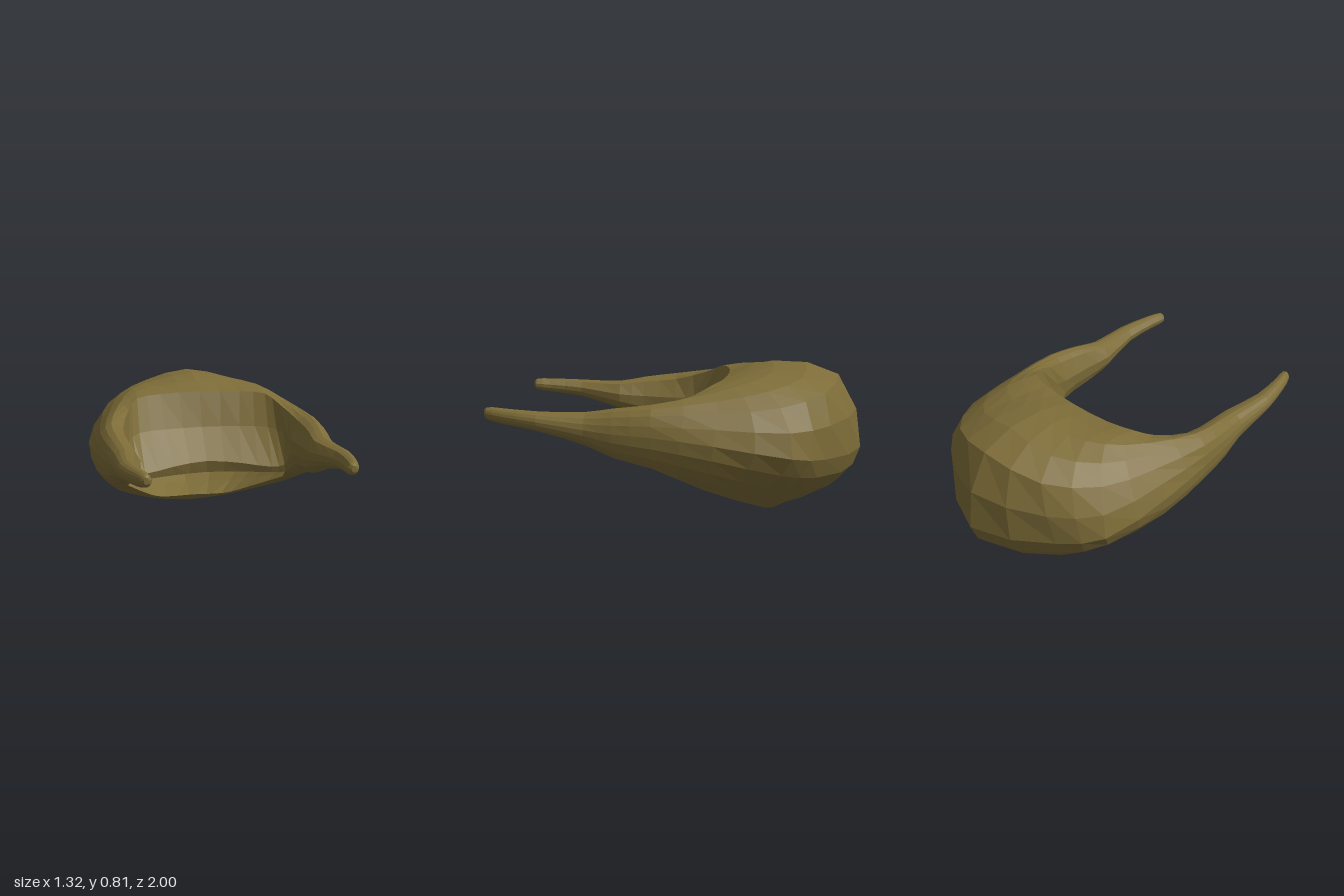
import * as THREE from 'three';

// Head cross-sections [x, y, z], from the centre line round to the side.
// Order: rim, crown, shoulder, outer, lower outer, bottom, bottom edge, lip, lip roll, front wall
const headSections = [
  [[0, .75, -.26], [0, .82, -.5], [0, .75, -.865], [0, .34, -1], [0, .155, -.885], [0, .005, -.52],
    [0, .05, -.47], [0, .31, -.06], [0, .38, -.045], [0, .55, -.19]],
  [[.24, .745, -.24], [.22, .785, -.5], [.32, .69, -.78], [.42, .36, -.785], [.35, .17, -.69], [.18, .02, -.51],
    [.19, .05, -.46], [.2, .31, -.03], [.2, .365, -.015], [.22, .55, -.165]],
  [[.38, .735, -.19], [.38, .757, -.4], [.51, .645, -.55], [.6, .4, -.615], [.5, .22, -.5], [.29, .06, -.44],
    [.28, .09, -.39], [.37, .31, .02], [.37, .345, .03], [.38, .55, -.11]],
  [[.44, .69, -.1], [.48, .71, -.2], [.58, .62, -.24], [.66, .47, -.22], [.62, .32, -.2], [.5, .2, -.16],
    [.46, .26, -.05], [.445, .315, .04], [.44, .36, .05], [.45, .53, -.02]],
];

// Side lock ellipses: z, inner x, outer x, bottom y, top y
const lockSections = [
  [.1, .455, .65, .32, .66], [.3, .46, .63, .37, .635], [.45, .447, .605, .43, .61],
  [.7, .488, .598, .505, .61], [.9, .478, .555, .535, .618], [.985, .468, .525, .553, .617], [1, .485, .508, .57, .605],
];

// Degrees round each lock that meet the points of the head sections
const lockAngles = [125, 85, 45, 5, -35, -70, -105, -135, -160, 170];

const STEPS = 2;
const EDGE = 11; // ring index of the bottom edge, where the head is open underneath

function lockRing([z, xIn, xOut, yLow, yHigh]) {
  return lockAngles.map((degrees) => {
    const a = THREE.MathUtils.degToRad(degrees);
    return new THREE.Vector3(
      (xIn + xOut) / 2 + Math.cos(a) * (xOut - xIn) / 2,
      (yLow + yHigh) / 2 + Math.sin(a) * (yHigh - yLow) / 2, z);
  });
}

// Round the outside of a section and keep the underside angular
function roundRing(ring) {
  const outside = new THREE.CatmullRomCurve3(ring.slice(0, 6)).getPoints(EDGE - 1);
  return [...outside, ...ring.slice(6)];
}

function hairGeometry() {
  const half = [
    ...headSections.map((s) => s.map((p) => new THREE.Vector3(...p))),
    ...lockSections.map(lockRing),
  ];
  const mirrored = half.slice(1).reverse()
    .map((ring) => ring.map((p) => new THREE.Vector3(-p.x, p.y, p.z)));
  const stations = [...mirrored, ...half];

  // Smooth rails run from one lock tip, round the back, to the other
  const rails = lockAngles.map((_, i) =>
    new THREE.CatmullRomCurve3(stations.map((s) => s[i])).getPoints((stations.length - 1) * STEPS));
  const rings = rails[0].map((_, s) => roundRing(rails.map((r) => r[s])));

  const n = rings[0].length;
  const openFrom = lockSections.length * STEPS;
  const openTo = rings.length - 1 - openFrom;
  const positions = [];
  const index = [];
  rings.forEach((ring) => ring.forEach((p) => positions.push(p.x, p.y, p.z)));
  for (let s = 0; s < rings.length - 1; s++) {
    for (let i = 0; i < n; i++) {
      if (i === EDGE && s >= openFrom && s < openTo) continue; // opening under the head
      const j = (i + 1) % n;
      const a = s * n + i, b = (s + 1) * n + i, c = s * n + j, d = (s + 1) * n + j;
      index.push(a, b, c, b, d, c);
    }
  }
  // Close both lock tips
  [0, rings.length - 1].forEach((s) => {
    const mid = rings[s].reduce((m, p) => m.add(p), new THREE.Vector3()).divideScalar(n);
    const centre = positions.length / 3;
    positions.push(mid.x, mid.y, mid.z);
    for (let i = 0; i < n; i++) {
      const a = s * n + i, b = s * n + (i + 1) % n;
      index.push(centre, ...(s === 0 ? [a, b] : [b, a]));
    }
  });

  const geometry = new THREE.BufferGeometry();
  geometry.setAttribute('position', new THREE.Float32BufferAttribute(positions, 3));
  geometry.setIndex(index);
  const faceted = geometry.toNonIndexed();
  faceted.computeVertexNormals();
  return faceted;
}

export function createModel() {
  const group = new THREE.Group();
  group.name = 'hairpiece';
  const olive = new THREE.MeshStandardMaterial({ color: 0x7d6c38, flatShading: true, side: THREE.DoubleSide });
  olive.name = 'olive brown';
  const hair = new THREE.Mesh(hairGeometry(), olive);
  hair.name = 'hairWithSideLocks';
  group.add(hair);
  return group;
}
